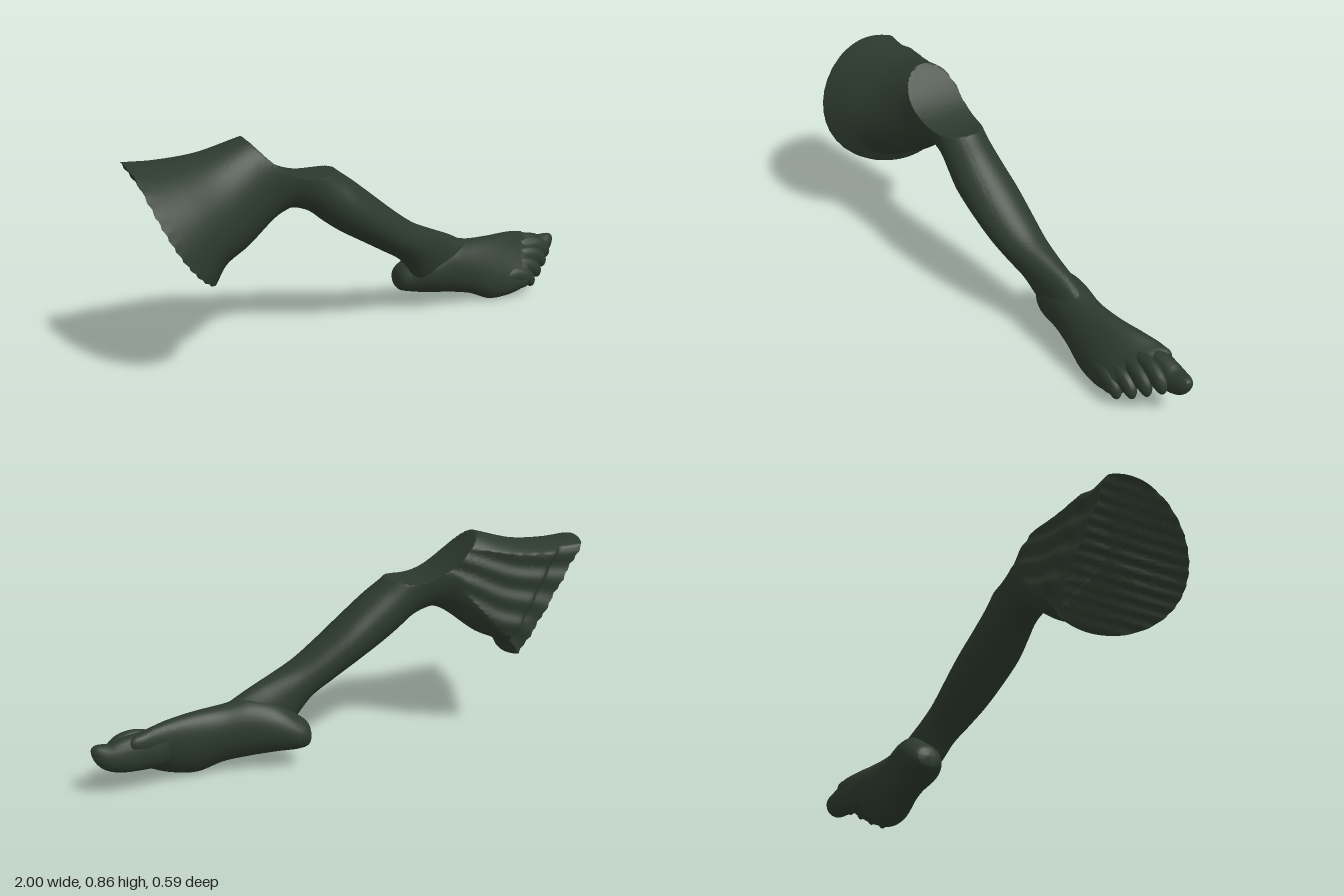
import * as THREE from 'three';
import { toCreasedNormals } from 'three/addons/utils/BufferGeometryUtils.js';

const TAU = Math.PI * 2;
const material = new THREE.MeshStandardMaterial({ color: 0x2c392d, side: THREE.DoubleSide });

// Closed-ring surface: f(u, angle) gives a point, angle 0 is up, a quarter turn is +z.
function ringMesh(name, nu, nv, f, crease = 0.8) {
  const pos = [], idx = [];
  for (let i = 0; i <= nu; i++) {
    for (let j = 0; j < nv; j++) pos.push(...f(i / nu, (j / nv) * TAU));
  }
  for (let i = 0; i < nu; i++) {
    for (let j = 0; j < nv; j++) {
      const k = (j + 1) % nv;
      const a = i * nv + j, b = a + nv, c = b - j + k, d = a - j + k;
      idx.push(a, d, b, b, d, c);
    }
  }
  const geo = new THREE.BufferGeometry();
  geo.setAttribute('position', new THREE.Float32BufferAttribute(pos, 3));
  geo.setIndex(idx);
  const mesh = new THREE.Mesh(toCreasedNormals(geo, crease), material);
  mesh.name = name;
  return mesh;
}

const spline = (pts) => new THREE.CatmullRomCurve3(
  pts.map((p) => new THREE.Vector3(p[0], p[1], p[2] || 0)), false, 'catmullrom', 0.5);

// Limb stations: top x, y, bottom x, y, back z, front z
const limb = [
  [-1.0, 0.81, -0.70, 0.34, -0.29, 0.29],
  [-0.88, 0.803, -0.655, 0.40, -0.26, 0.235],
  [-0.72, 0.815, -0.56, 0.447, -0.21, 0.165],
  [-0.55, 0.86, -0.45, 0.53, -0.155, 0.105],
  [-0.44, 0.88, -0.40, 0.558, -0.137, 0.09],
  [-0.32, 0.84, -0.36, 0.565, -0.135, 0.075],
  [-0.24, 0.76, -0.29, 0.54, -0.134, 0.062],
  [-0.18, 0.70, -0.22, 0.485, -0.14, 0.062],
  [-0.10, 0.64, -0.15, 0.435, -0.15, 0.065],
  [0.0, 0.56, -0.05, 0.375, -0.165, 0.052],
  [0.1, 0.48, 0.05, 0.315, -0.172, 0.03],
  [0.2, 0.41, 0.13, 0.265, -0.175, 0.0],
  [0.3, 0.363, 0.185, 0.21, -0.182, -0.035],
  [0.4, 0.318, 0.25, 0.13, -0.195, -0.065],
  [0.52, 0.25, 0.36, 0.1, -0.2, -0.09],
];
const topLine = spline(limb.map((s) => [s[0], s[1]]));
const bottomLine = spline(limb.map((s) => [s[2], s[3]]));
const depthLine = spline(limb.map((s) => [s[4], s[5]]));

// Point in a limb section; the thigh end bulges and carries fine chisel ridges
function limbPoint(u, c, z) {
  const p = topLine.getPoint(u).lerp(bottomLine.getPoint(u), (1 - c) / 2);
  const bulge = Math.max(0, 1 - u * 7) * 0.7 * Math.max(z, 0) ** 2;
  const d = bulge + Math.max(0, 1 - u * 40) * 0.003 * Math.sin(40 * c);
  return [p.x - 0.85 * d, p.y - 0.53 * d, z];
}

// Depth on a section; the back of the thigh is a slanted, grooved face behind a recessed end lip
function limbDepth(u, a) {
  const d = depthLine.getPoint(u), c = Math.cos(a);
  const slim = 1 - 0.1 * Math.max(0, 1 - u * 5) * c;
  const z = (d.x + d.y) / 2 + Math.sin(a) * slim * (d.y - d.x) / 2;
  const y = limbPoint(u, c, 0)[1];
  const lip = 0.025 * (1 - THREE.MathUtils.smoothstep(u, 0.06, 0.075));
  const back = lip - 0.17 + 0.15 * Math.max(0, y - 0.5) + 0.005 * Math.sin(14 * c);
  return u < 0.36 ? Math.max(z, back) : z;
}

// Scooped hollow across the knee
const kneeCut = (x) => 0.685 + (x < -0.28 ? 2.4 : 1.5) * (x + 0.28) ** 2;

function limbSurface(u, a) {
  const [x, y, z] = limbPoint(u, Math.cos(a), limbDepth(u, a));
  return [x, x > -0.56 && x < -0.16 ? Math.min(y, kneeCut(x)) : y, z];
}

function thighEnd(r, a) {
  return limbPoint(0, r * Math.cos(a), r * limbDepth(0, a));
}

// Foot stations: x, bottom y, top y, back z, front z, tilt
const foot = [
  [0.16, 0.14, 0.14, -0.19, -0.19, 0],
  [0.175, 0.095, 0.185, -0.235, -0.13, 0],
  [0.22, 0.08, 0.22, -0.253, -0.1, 0],
  [0.3, 0.07, 0.275, -0.25, -0.062, 0],
  [0.4, 0.058, 0.295, -0.235, -0.063, 0.05],
  [0.5, 0.04, 0.278, -0.225, -0.062, 0.2],
  [0.6, 0.005, 0.27, -0.235, -0.06, 0.45],
  [0.7, 0.01, 0.26, -0.262, -0.06, 0.6],
  [0.77, 0.03, 0.245, -0.282, -0.062, 0.6],
  [0.82, 0.055, 0.225, -0.275, -0.075, 0.6],
  [0.85, 0.14, 0.14, -0.18, -0.18, 0.6],
];
const footHeight = spline(foot.map((s) => [s[0], s[1], s[2]]));
const footDepth = spline(foot.map((s) => [s[3], s[4], s[5]]));

function footSurface(u, a) {
  const h = footHeight.getPoint(u), d = footDepth.getPoint(u);
  const rz = Math.max(0, d.y - d.x) / 2, half = Math.max(0, h.z - h.y) / 2;
  const ry = Math.sqrt(Math.max(0, half * half - (d.z * rz) ** 2));
  const dz = Math.sin(a) * rz;
  return [h.x - dz * d.z * 0.7, (h.y + h.z) / 2 + Math.cos(a) * ry - dz * d.z, (d.x + d.y) / 2 + dz];
}

// Toe: rounded tube along a short path, thinner toward the tip by the taper
function toe(name, path, ry, rz, taper) {
  const line = spline(path);
  return ringMesh(name, 20, 20, (u, a) => {
    const s = Math.sin(u * Math.PI / 2);
    const p = line.getPoint(s), t = line.getTangent(s);
    const r = Math.sqrt(Math.max(0, 1 - s ** 5)) * (0.9 + 0.15 * Math.sin(s * Math.PI));
    const n = Math.cos(a) * ry * r * (1 - taper * s);
    return [p.x - t.y * n, p.y + t.x * n, p.z + Math.sin(a) * rz * r];
  }, 1.5);
}

export function createModel() {
  const leg = new THREE.Group();
  leg.name = 'leg';
  leg.add(ringMesh('thighAndShin', 220, 120, limbSurface, 0.6));
  leg.add(ringMesh('thighEnd', 16, 120, thighEnd));
  leg.add(ringMesh('footBody', 80, 48, footSurface, 1.5));

  const toes = new THREE.Group();
  toes.name = 'toes';
  toes.add(toe('bigToe', [[0.72, 0.165, -0.22], [0.83, 0.163, -0.24], [0.93, 0.16, -0.25], [1.0, 0.2, -0.252]], 0.085, 0.045, 0.45));
  // Small toes: tip x, tip y, z
  [[0.935, 0.135, -0.187], [0.895, 0.108, -0.152], [0.85, 0.076, -0.12], [0.8, 0.05, -0.09]].forEach(([x, y, z], i) => {
    toes.add(toe('smallToe' + (i + 1), [
      [x - 0.17, y + 0.04, z], [x - 0.09, y + 0.05, z], [x - 0.03, y + 0.03, z], [x, y - 0.01, z],
    ], 0.047 - i * 0.002, 0.028, 0.2));
  });
  leg.add(toes);
  return leg;
}
